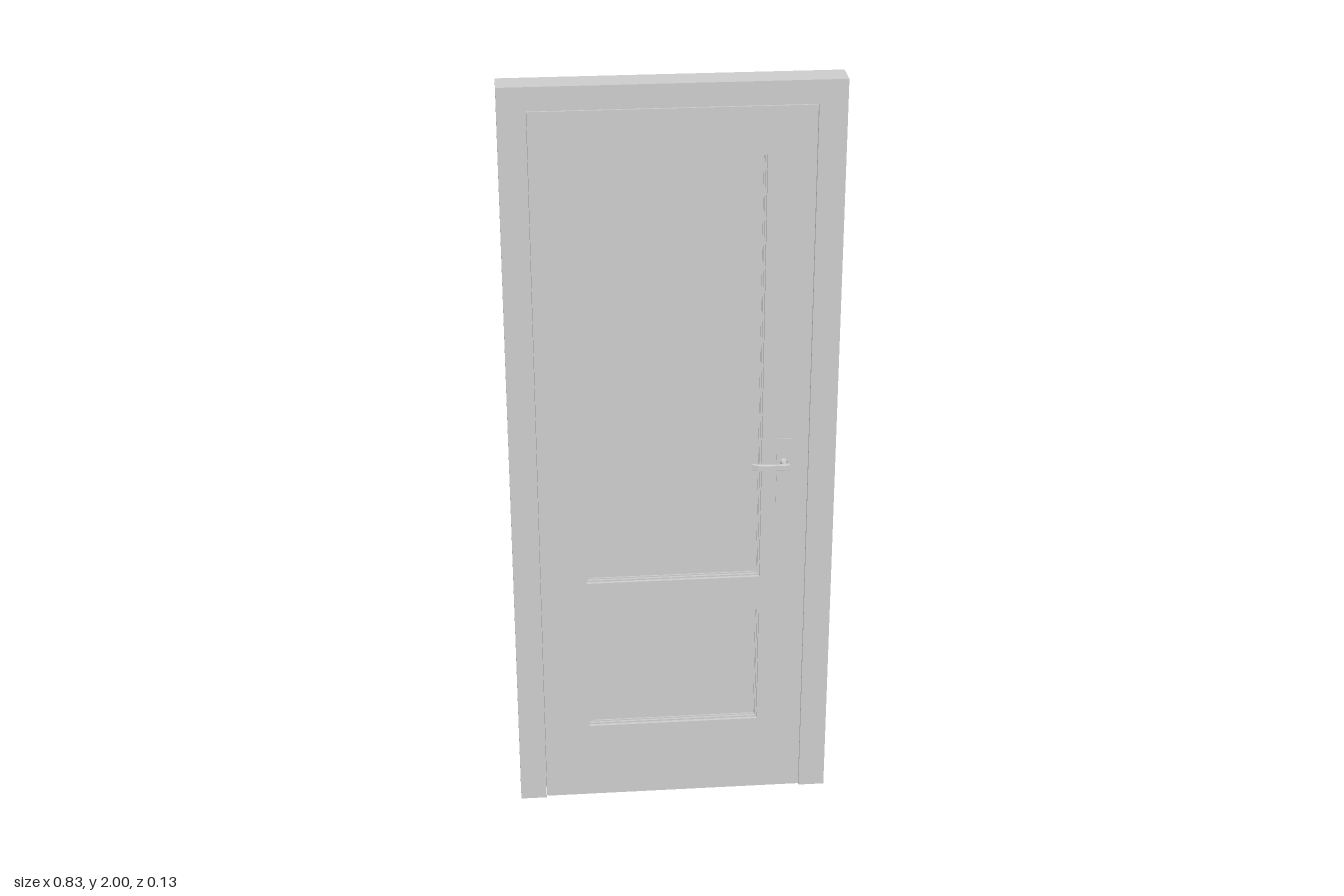
import * as THREE from 'three';

const grey = new THREE.MeshStandardMaterial({ color: 0xcccccc });
const FRONT = 0.025, BACK = -0.03, MID = (FRONT + BACK) / 2;

function add(parent, name, geometry, x = 0, y = 0, z = 0) {
  const mesh = new THREE.Mesh(geometry, grey);
  mesh.name = name;
  mesh.position.set(x, y, z);
  parent.add(mesh);
  return mesh;
}

function rect(w, y0, y1, Kind = THREE.Shape) {
  return new Kind([[-w, y0], [w, y0], [w, y1], [-w, y1]].map(([x, y]) => new THREE.Vector2(x, y)));
}

// Flat outline with holes, filling z0 to z1
function slab(shape, z0, z1) {
  return new THREE.ExtrudeGeometry(shape, { depth: z1 - z0, bevelEnabled: false }).translate(0, 0, z0);
}

// Door surround: two jambs and a head in one outline, open at the floor
function surround(innerW, innerTop, z0, z1, outerW = 0.415, outerTop = 2) {
  const points = [[-outerW, 0], [-innerW, 0], [-innerW, innerTop], [innerW, innerTop],
    [innerW, 0], [outerW, 0], [outerW, outerTop], [-outerW, outerTop]];
  return slab(new THREE.Shape(points.map(([x, y]) => new THREE.Vector2(x, y))), z0, z1);
}

function ring(outW, y0, y1, inset, z0, z1) {
  const shape = rect(outW, y0, y1);
  shape.holes.push(rect(outW - inset, y0 + inset, y1 - inset, THREE.Path));
  return slab(shape, z0, z1);
}

// Handle for the front side, measured outward from the leaf face
function makeHandle(name) {
  const handle = new THREE.Group();
  handle.name = name;
  add(handle, 'backPlate', new THREE.BoxGeometry(0.036, 0.205, 0.003), 0.282, 0.963, 0.001);

  const profile = [[0.0095, 0], [0.0095, 0.004], [0.0068, 0.007], [0.0062, 0.02], [0.007, 0.032]];
  const stem = new THREE.LatheGeometry(profile.map(([r, h]) => new THREE.Vector2(r, h)), 24);
  add(handle, 'stem', stem.rotateX(Math.PI / 2), 0.282, 1, 0);

  // Bowed grip: outline seen from above, raised through its height
  const grip = new THREE.Shape();
  grip.moveTo(0.293, 0.030);
  grip.quadraticCurveTo(0.25, 0.034, 0.217, 0.030);
  grip.lineTo(0.200, 0.023);
  grip.lineTo(0.199, 0.027);
  grip.lineTo(0.212, 0.034);
  grip.quadraticCurveTo(0.25, 0.0395, 0.293, 0.037);
  grip.closePath();
  const geometry = new THREE.ExtrudeGeometry(grip, {
    depth: 0.013, bevelThickness: 0.0015, bevelSize: 0.001, bevelSegments: 2, curveSegments: 10,
  });
  geometry.translate(0, 0, -0.0065).rotateX(Math.PI / 2);
  add(handle, 'grip', geometry, 0, 1, 0);
  return handle;
}

export function createModel() {
  const model = new THREE.Group();
  model.name = 'door';

  // Frame: outer surround with a narrower stop behind the leaf
  const frame = new THREE.Group();
  frame.name = 'frame';
  add(frame, 'surround', surround(0.346, 1.941, -0.05, FRONT));
  add(frame, 'doorStop', surround(0.333, 1.928, -0.041, BACK, 0.346, 1.941));
  model.add(frame);

  // Leaf: rails and stiles around two recessed panels
  const leaf = new THREE.Group();
  leaf.name = 'leaf';
  const openings = [['upper', 0.665, 1.82], ['lower', 0.225, 0.565]];
  const outline = rect(0.3445, 0.005, 1.9395);
  openings.forEach(([, y0, y1]) => outline.holes.push(rect(0.226, y0, y1, THREE.Path)));
  add(leaf, 'railsAndStiles', slab(outline, BACK, FRONT));
  for (const [label, y0, y1] of openings) {
    add(leaf, label + 'Panel', slab(rect(0.226, y0, y1), MID - 0.009, MID + 0.009));
    // Stepped moulding, the same on both faces
    add(leaf, label + 'Moulding', ring(0.226, y0, y1, 0.004, MID - 0.019, MID + 0.019));
    add(leaf, label + 'Bead', ring(0.226, y0, y1, 0.007, MID - 0.013, MID + 0.013));
  }
  model.add(leaf);

  // Handles on both faces, the rear one mirrored through the leaf
  const frontHandle = makeHandle('frontHandle');
  frontHandle.position.z = FRONT;
  const backHandle = makeHandle('backHandle');
  backHandle.position.z = BACK;
  backHandle.scale.z = -1;
  model.add(frontHandle, backHandle);

  return model;
}
